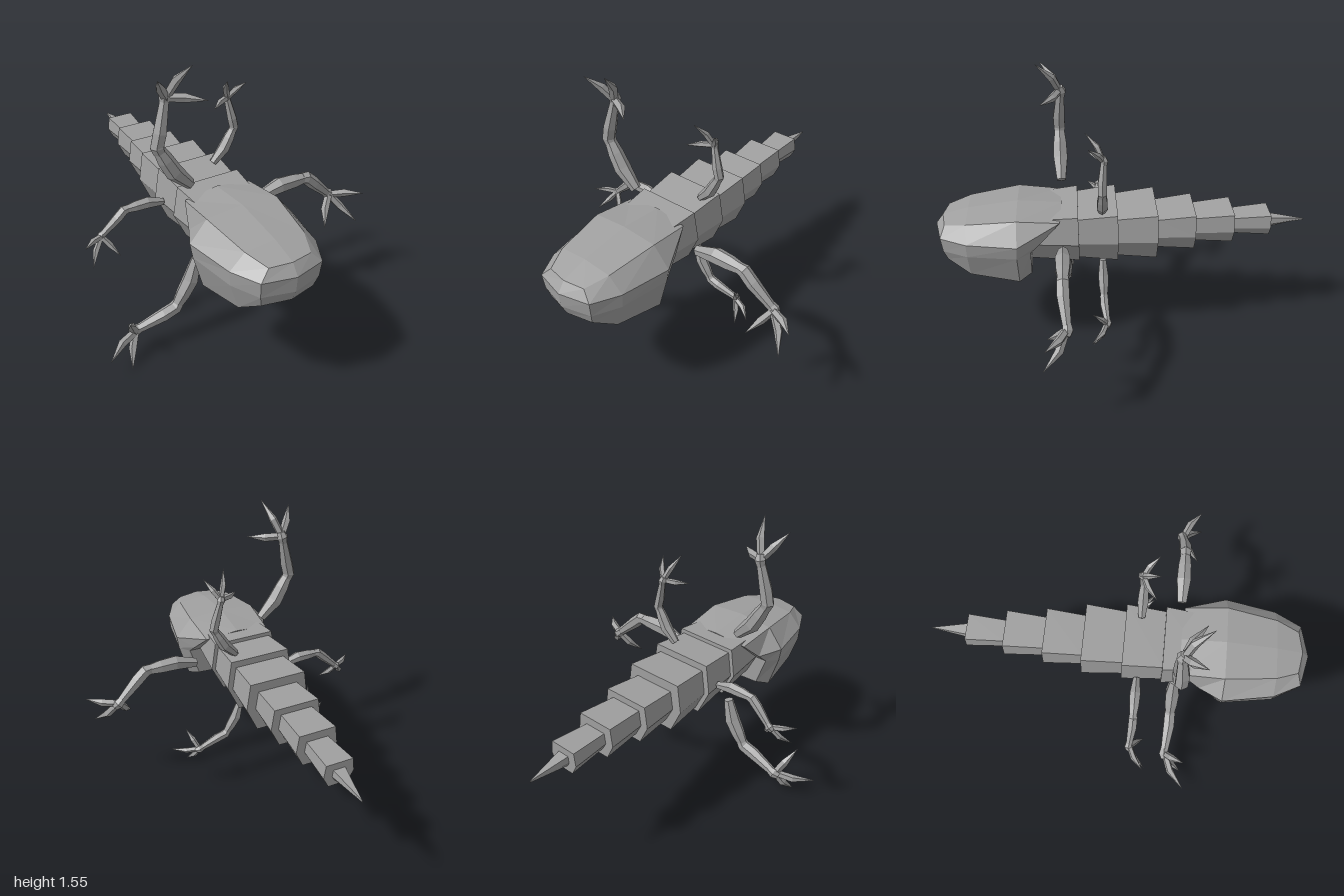
import * as THREE from 'three';

const V = (x, y, z) => new THREE.Vector3(x, y, z);
const CX = -0.115, CY = 0.717; // long axis of the body

// Skin over closed rings; each ring runs counter-clockwise about the direction of travel.
function loft(rings) {
  const pos = [];
  const tri = (a, b, c) => {
    const n = b.clone().sub(a).cross(c.clone().sub(a));
    if (n.length() > 1e-9) pos.push(...a, ...b, ...c);
  };
  const cap = (ring, flip) => {
    const mid = ring.reduce((s, p) => s.add(p), V(0, 0, 0)).divideScalar(ring.length);
    ring.forEach((p, j) => {
      const q = ring[(j + 1) % ring.length];
      flip ? tri(mid, q, p) : tri(mid, p, q);
    });
  };
  for (let i = 0; i < rings.length - 1; i++) {
    const r = rings[i], s = rings[i + 1], n = r.length;
    for (let j = 0; j < n; j++) {
      const k = (j + 1) % n;
      tri(r[j], r[k], s[k]);
      tri(r[j], s[k], s[j]);
    }
  }
  cap(rings[0], true);
  cap(rings[rings.length - 1], false);
  const g = new THREE.BufferGeometry();
  g.setAttribute('position', new THREE.Float32BufferAttribute(pos, 3));
  g.computeVertexNormals();
  return g;
}

// Faceted limb along a path with a radius at each point.
function limb(points, radii, sides = 6) {
  return loft(points.map((p, i) => {
    const t = points[Math.min(i + 1, points.length - 1)].clone()
      .sub(points[Math.max(i - 1, 0)]).normalize();
    const u = V(0, 0, 1).cross(t).normalize();
    const v = t.clone().cross(u);
    return Array.from({ length: sides }, (_, k) => {
      const a = (k / sides) * Math.PI * 2;
      return p.clone().addScaledVector(u, Math.cos(a) * radii[i]).addScaledVector(v, Math.sin(a) * radii[i]);
    });
  }));
}

export function createModel() {
  const model = new THREE.Group();
  const grey = new THREE.MeshStandardMaterial({ color: 0xa0a0a0, flatShading: true });
  grey.name = 'stone grey';
  const add = (parent, name, geometry) => {
    const m = new THREE.Mesh(geometry, grey);
    m.name = name;
    parent.add(m);
    return m;
  };

  // Head: contour rows from crown to keel, each [half width, y, z] from back to front centre
  const rows = [
    [[0, 0.875, 0.33], [0, 0.895, 0.56], [0, 0.863, 0.82], [0, 0.828, 0.955], [0, 0.828, 0.955]],
    [[0.18, 0.855, 0.34], [0.19, 0.88, 0.56], [0.155, 0.85, 0.82], [0.11, 0.825, 0.935], [0, 0.828, 0.955]],
    [[0.215, 0.76, 0.44], [0.277, 0.775, 0.56], [0.23, 0.775, 0.82], [0.16, 0.775, 0.957], [0, 0.775, 0.995]],
    [[0.225, 0.71, 0.495], [0.265, 0.70, 0.565], [0.225, 0.70, 0.82], [0.155, 0.695, 0.95], [0, 0.695, 0.99]],
    [[0.17, 0.545, 0.5], [0.212, 0.52, 0.565], [0.18, 0.56, 0.82], [0.138, 0.635, 0.935], [0, 0.635, 0.965]],
    [[0, 0.535, 0.5], [0, 0.503, 0.565], [0, 0.545, 0.82], [0, 0.635, 0.965], [0, 0.635, 0.965]],
  ];
  add(model, 'head', loft(rows.map((row) => [
    ...row.map(([w, y, z]) => V(CX + w, y, z)),
    ...row.slice(0, -1).reverse().map(([w, y, z]) => V(CX - w, y, z)),
  ])));

  // Abdomen: overlapping hexagonal segments flaring backwards
  const section = (w, top, bottom, z) => [
    [1, null], [0.65, bottom], [-0.65, bottom], [-1, null], [-0.88, top], [0.88, top],
  ].map(([k, y]) => V(CX + k * w, y === null ? (top + bottom) / 2 - 0.008 : y, z));
  const segments = [ // z front, z back, then half width, top, bottom at front and back
    [0.5, 0.245, 0.165, 0.855, 0.6, 0.192, 0.875, 0.582],
    [0.245, 0.04, 0.172, 0.853, 0.594, 0.187, 0.875, 0.572],
    [0.04, -0.17, 0.158, 0.837, 0.59, 0.174, 0.858, 0.572],
    [-0.17, -0.375, 0.124, 0.806, 0.62, 0.138, 0.828, 0.607],
    [-0.375, -0.585, 0.097, 0.792, 0.642, 0.111, 0.81, 0.63],
    [-0.585, -0.79, 0.066, 0.766, 0.667, 0.08, 0.78, 0.654],
  ];
  segments.forEach(([z0, z1, w0, t0, b0, w1, t1, b1], i) =>
    add(model, `bodySegment${i + 1}`, loft([section(w0, t0, b0, z0), section(w1, t1, b1, z1)])));
  add(model, 'tailSpike', loft([section(0.036, 0.744, 0.684, -0.785), section(0.0008, 0.715, 0.713, -0.99)]));

  // Clawed legs, spread radially around the body axis
  function leg(name, side, scale, angle, z) {
    const g = new THREE.Group();
    g.name = name;
    const P = (x, y, d) => V(x * side, y, d).multiplyScalar(scale);
    const part = (n, pts, radii, sides) =>
      add(g, n, limb(pts.map((p) => P(...p)), radii.map((r) => r * scale), sides));
    part('thigh', [[0.255, 0.018, 0], [0.375, 0.047, 0], [0.46, 0.046, 0], [0.54, 0.043, 0]],
      [0.027, 0.043, 0.039, 0.027]);
    part('knee', [[0.515, 0.046, 0], [0.545, 0.042, 0], [0.57, 0.02, 0]], [0.03, 0.035, 0.031]);
    part('shin', [[0.545, 0.042, 0], [0.595, -0.005, 0], [0.715, -0.117, -0.015]], [0.034, 0.035, 0.022]);
    part('ankle', [[0.69, -0.094, -0.015], [0.714, -0.116, -0.016], [0.735, -0.135, -0.01]], [0.022, 0.03, 0.02]);
    [[0.87, -0.107, 0.09], [0.83, -0.265, 0.105], [0.625, -0.247, 0.09]].forEach(([x, y, d], i) => {
      const ax = 0.715, ay = -0.117;
      part(`claw${i + 1}`, [
        [ax, ay, -0.008],
        [ax + (x - ax) * 0.5, ay + (y - ay) * 0.5, 0.027],
        [x, y, d],
      ], [0.02, 0.022, 0.001], 5);
    });
    g.rotation.z = angle;
    g.position.set(CX, CY, z);
    model.add(g);
  }
  for (let i = 0; i < 3; i++) {
    const angle = (i * Math.PI * 2) / 3;
    leg(`frontLeg${i + 1}`, 1, 1, angle, 0.328);
    leg(`rearLeg${i + 1}`, -1, 0.73, angle, 0.12);
  }
  return model;
}
